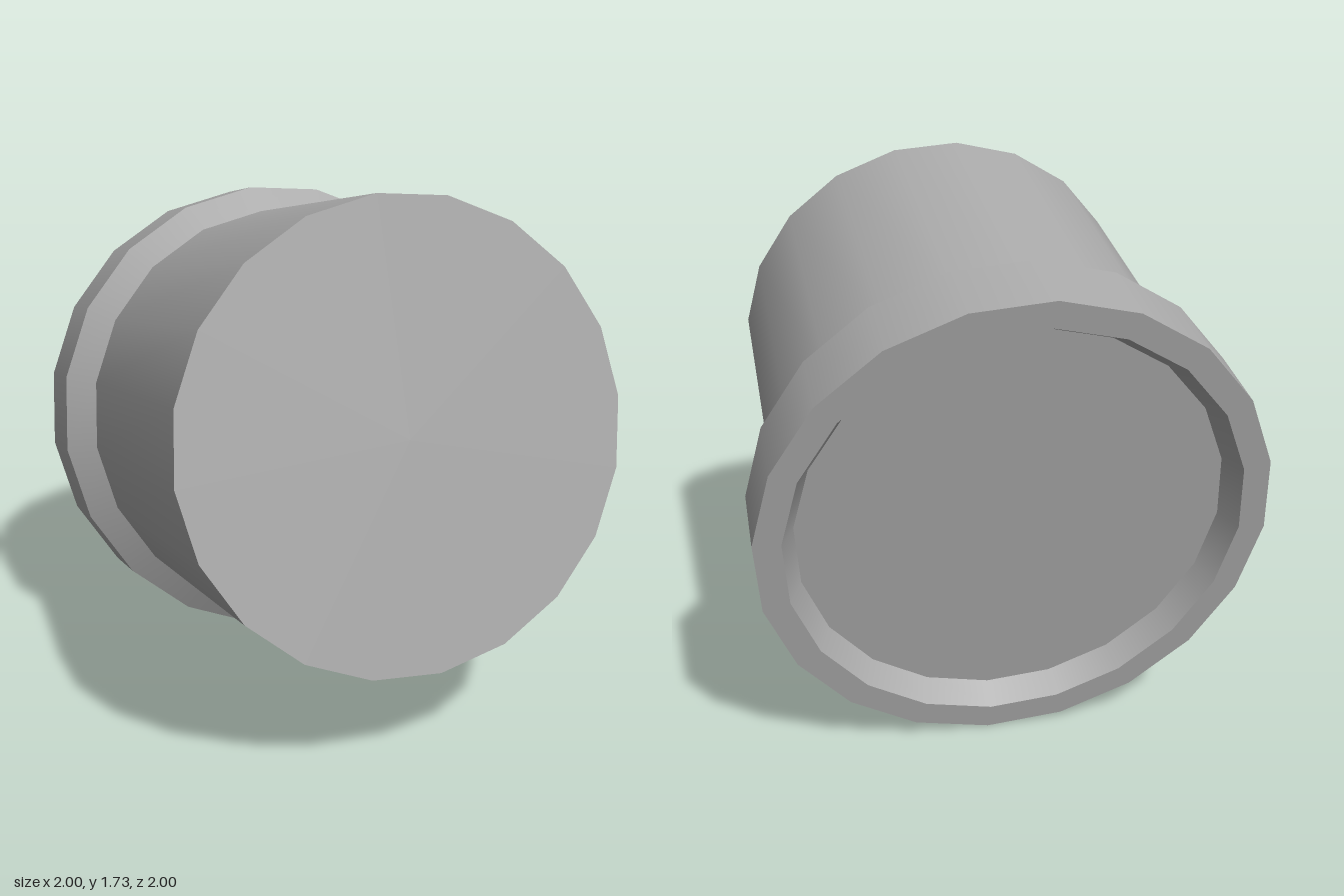
import * as THREE from 'three';

const SIDES = 20;

// One lathed band per profile segment keeps the rims sharp and the walls smooth
function band(name, r0, y0, r1, y1, material) {
  const points = [new THREE.Vector2(r0, y0), new THREE.Vector2(r1, y1)];
  const mesh = new THREE.Mesh(new THREE.LatheGeometry(points, SIDES), material);
  mesh.name = name;
  return mesh;
}

export function createModel() {
  const material = new THREE.MeshStandardMaterial({ color: 0xaaaaaa });
  const model = new THREE.Group();
  model.name = 'flangedPlug';

  // Profile from the centre of the recess, around the flange, to the end face
  const profile = [
    [0, -1.255], [0.668, -1.255], [0.71, -1.335], [0.795, -1.335],
    [0.795, -1.09], [0.707, -1.015], [0.707, 0], [0, 0],
  ];
  const names = ['recessFloor', 'recessWall', 'flangeRim', 'flangeSide',
    'flangeBevel', 'body', 'endFace'];

  const plug = new THREE.Group();
  plug.name = 'plug';
  names.forEach((name, i) => {
    plug.add(band(name, ...profile[i], ...profile[i + 1], material));
  });

  // Tilt the turning axis, with one corner of the polygon along "corner"
  const axis = new THREE.Vector3(0.74, 0.2, 0.64).normalize();
  const corner = new THREE.Vector3(-0.2, 0.978, -0.076);
  corner.addScaledVector(axis, -corner.dot(axis)).normalize();
  const side = new THREE.Vector3().crossVectors(corner, axis);
  plug.quaternion.setFromRotationMatrix(new THREE.Matrix4().makeBasis(corner, axis, side));
  plug.position.set(0.52, 1.05, 0.457);

  model.add(plug);
  return model;
}
